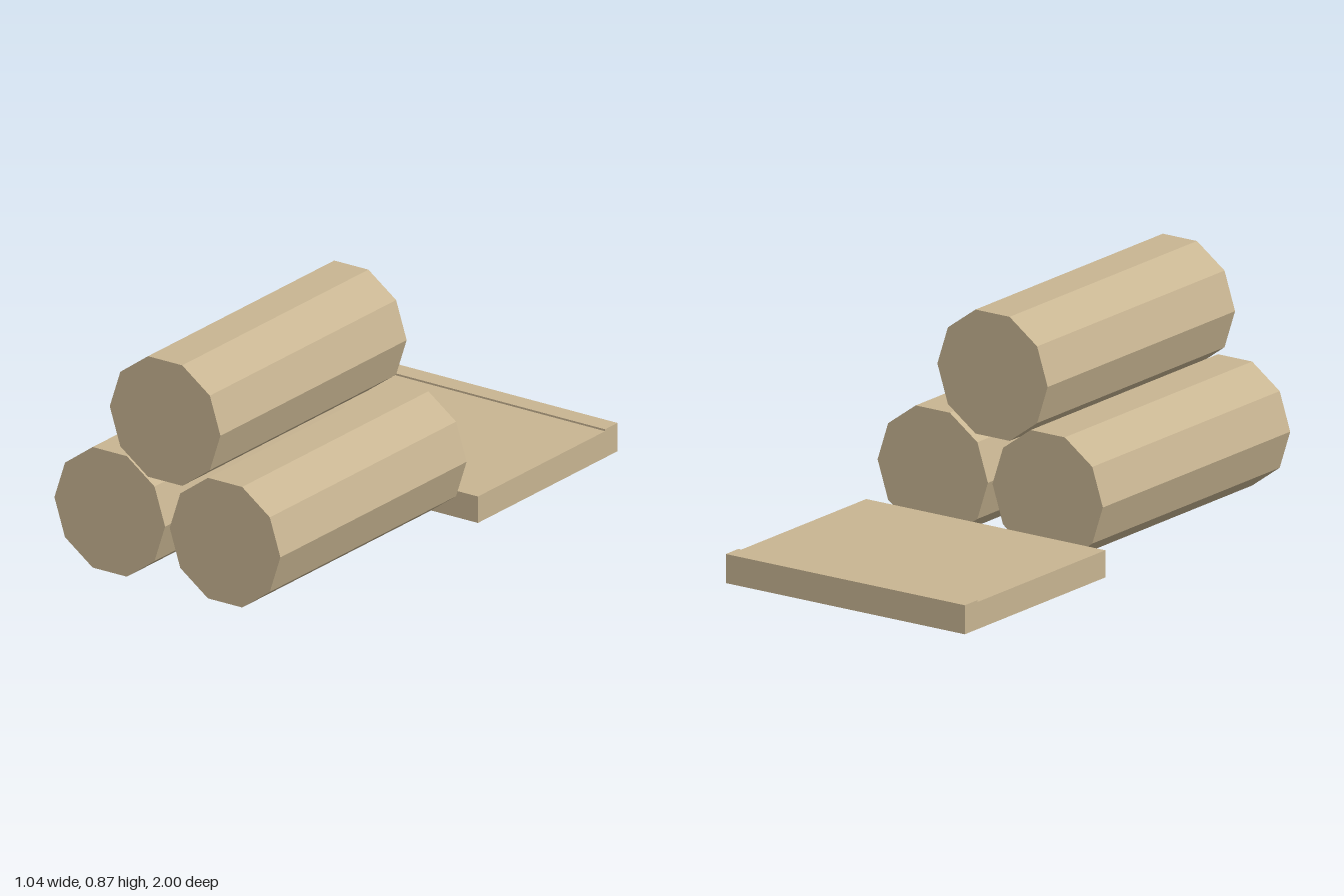
import * as THREE from 'three';

export function createModel() {
  const group = new THREE.Group();
  group.name = 'logPile';
  const wood = new THREE.MeshStandardMaterial({ color: 0xc8b592, flatShading: true });
  wood.name = 'tanWood';

  const add = (name, geometry, x = 0, y = 0, z = 0) => {
    const mesh = new THREE.Mesh(geometry, wood);
    mesh.name = name;
    mesh.position.set(x, y, z);
    group.add(mesh);
  };

  // Three ten-sided logs lying along z, with a corner pointing sideways
  const log = new THREE.CylinderGeometry(0.24, 0.24, 1.12, 10, 1, false, Math.PI / 2);
  log.rotateX(Math.PI / 2);
  add('lowerRightLog', log, -0.24, 0.24, 0.44);
  add('lowerLeftLog', log, 0.26, 0.24, 0.44);
  add('upperLog', log, 0, 0.64, 0.44);

  // Slab with a raised rear lip: side profile (depth, height) extruded across x
  const profile = new THREE.Shape([
    [0.16, 0], [1, 0], [1, 0.107], [0.925, 0.107], [0.925, 0.1], [0.16, 0.1],
  ].map(([d, h]) => new THREE.Vector2(d, h)));
  const slab = new THREE.ExtrudeGeometry(profile, { depth: 1.04, bevelEnabled: false });
  slab.translate(0, 0, -0.52);
  slab.rotateY(Math.PI / 2);
  add('slab', slab);

  return group;
}
